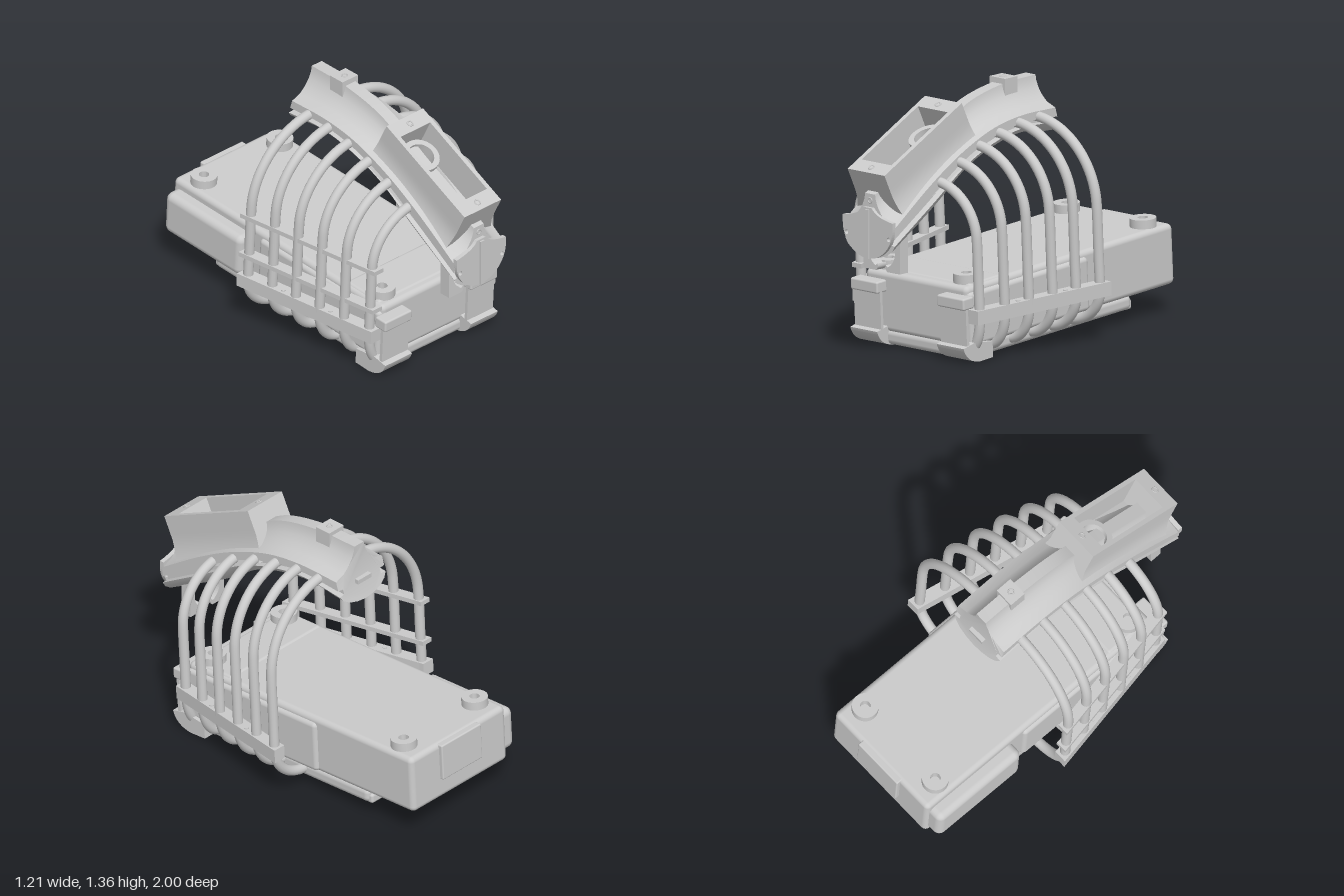
import * as THREE from 'three';
import { toCreasedNormals } from 'three/addons/utils/BufferGeometryUtils.js';
import { RoundedBoxGeometry } from 'three/addons/geometries/RoundedBoxGeometry.js';

const grey = new THREE.MeshStandardMaterial({ color: 0xcccccc });
const dbl = new THREE.MeshStandardMaterial({ color: 0xcccccc, side: THREE.DoubleSide });

function add(parent, name, geo, x = 0, y = 0, z = 0, mat = grey) {
  const m = new THREE.Mesh(geo, mat);
  m.name = name;
  m.position.set(x, y, z);
  parent.add(m);
  return m;
}
// Box given by its extents
function block(parent, name, [x0, x1], [y0, y1], [z0, z1], r = 0) {
  const s = [x1 - x0, y1 - y0, z1 - z0];
  const geo = r ? new RoundedBoxGeometry(...s, 3, r) : new THREE.BoxGeometry(...s);
  return add(parent, name, geo, (x0 + x1) / 2, (y0 + y1) / 2, (z0 + z1) / 2);
}
const poly = pts => new THREE.Shape(pts.map(p => new THREE.Vector2(...p)));
const extrude = (shape, depth, extra = {}) =>
  new THREE.ExtrudeGeometry(shape, { depth, bevelEnabled: false, curveSegments: 20, ...extra });
const circleHole = (x, y, r) => new THREE.Path().absarc(x, y, r, 0, Math.PI * 2, true);
// Smooth curve through [z, y] points
const sideCurve = pts => new THREE.CatmullRomCurve3(pts.map(([z, y]) => new THREE.Vector3(0, y, z)));

// Housing with lid, base, knobs and clips
function buildHousing(g) {
  block(g, 'housing', [-0.36, 0.36], [0.105, 0.43], [-0.99, 0.6], 0.03);
  block(g, 'housingMiddle', [-0.378, 0.378], [0.11, 0.4], [-0.32, 0.595], 0.025);
  block(g, 'frontLip', [-0.345, 0.345], [0.36, 0.437], [0.3, 0.56], 0.02);
  block(g, 'sideBulge', [-0.44, -0.3], [0.14, 0.38], [-0.97, -0.39], 0.04);
  block(g, 'rearPanel', [-0.15, 0.15], [0.22, 0.425], [-1.012, -0.95], 0.008);
  block(g, 'basePlate', [-0.355, 0.355], [0.038, 0.12], [-0.66, 0.6], 0.03);

  // Rounded panel and hatch underneath
  const panel = poly([[-0.2, -0.46], [0.2, -0.46], [0.3, -0.36], [0.3, 0.42], [0.24, 0.5],
    [-0.24, 0.5], [-0.3, 0.42], [-0.3, -0.36]]);
  add(g, 'bottomPanel', extrude(panel, 0.02).rotateX(Math.PI / 2), 0, 0.05, 0);
  block(g, 'bottomHatch', [-0.09, 0.09], [0.024, 0.04], [-0.25, 0.2]);

  const knobShape = new THREE.Shape().absarc(0, 0, 0.07, 0, Math.PI * 2);
  knobShape.holes.push(circleHole(0, 0, 0.027));
  const knob = toCreasedNormals(extrude(knobShape, 0.055).rotateX(-Math.PI / 2), 0.6);

  const clipFoot = new THREE.Shape();
  clipFoot.moveTo(0.46, 0.035);
  clipFoot.lineTo(0.56, 0.033);
  clipFoot.quadraticCurveTo(0.66, 0.045, 0.682, 0.125);
  clipFoot.lineTo(0.6, 0.14);
  clipFoot.lineTo(0.46, 0.12);
  const foot = extrude(clipFoot, 0.19).rotateY(-Math.PI / 2);

  for (const s of [1, -1]) {
    add(g, 'frontKnob', knob, s * 0.27, 0.425, 0.5);
    add(g, 'rearKnob', knob, s * 0.27, 0.422, -0.855);
    const clip = new THREE.Group();
    clip.name = s > 0 ? 'leftClip' : 'rightClip';
    clip.scale.x = s;
    g.add(clip);
    add(clip, 'clipFoot', foot, 0.4);
    block(clip, 'clipStrap', [0.21, 0.395], [0.12, 0.38], [0.632, 0.65]);
    block(clip, 'clipLip', [0.21, 0.4], [0.325, 0.388], [0.59, 0.67], 0.01);
    block(clip, 'rearHook', [0.22, 0.34], [0.035, 0.09], [-0.675, -0.62], 0.015);
  }
}

// Six ribs a side, tied by rails
function buildCage(g) {
  const width = [0.415, 0.452, 0.482, 0.508, 0.532, 0.56];
  const top = [0.965, 1.04, 1.095, 1.13, 1.15, 1.15];
  const ribs = width.map((w, i) => {
    const z = 0.566 - i * 0.153, start = 0.13, r = w - start;
    const pts = [new THREE.Vector3(0.08, top[i], z)];
    for (let k = 0; k <= 10; k++) {
      const a = (k / 10) * Math.PI / 2;
      pts.push(new THREE.Vector3(start + r * Math.sin(a), top[i] - r * (1 - Math.cos(a)), z));
    }
    pts.push(new THREE.Vector3(w, 0.45, z));
    for (let k = 0; k <= 8; k++) {
      const a = (k / 8) * Math.PI / 2, rx = w - 0.33;
      pts.push(new THREE.Vector3(0.33 + rx * Math.cos(a), 0.28 - 0.195 * Math.sin(a), z));
    }
    return new THREE.TubeGeometry(new THREE.CatmullRomCurve3(pts), 64, 0.027, 14);
  });
  // Flat strip following the line of the ribs
  const strip = (inner, outer, height) => extrude(poly([
    [0.407 + outer, 0.61], [0.407 + inner, 0.61], [0.565 + inner, -0.215], [0.568 + inner, -0.24],
    [0.568 + outer, -0.24]]), height).rotateX(Math.PI / 2);
  const rail = strip(-0.038, 0.036, 0.075), band = strip(-0.034, 0.031, 0.025);
  for (const s of [1, -1]) {
    const side = new THREE.Group();
    side.name = s > 0 ? 'leftCage' : 'rightCage';
    side.scale.x = s;
    g.add(side);
    ribs.forEach(geo => add(side, 'rib', geo));
    add(side, 'lowerRail', rail, 0, 0.318, 0);
    const stud = new THREE.CylinderGeometry(0.012, 0.012, 0.006, 12);
    for (const z of [0.33, 0.03]) add(side, 'railStud', stud, 0.47 + (0.33 - z) * 0.19, 0.32, z);
    if (s < 0) for (const y of [0.45, 0.69]) add(side, 'thinBand', band, 0, y, 0);
  }
}

// Arched spine: one section bent along three side curves
function buildSpine(g) {
  const crest = sideCurve([[-0.26, 1.34], [0, 1.33], [0.28, 1.265], [0.5, 1.13], [0.72, 1.02], [0.97, 0.9]]);
  const edge = sideCurve([[-0.26, 1.18], [0, 1.18], [0.22, 1.145], [0.47, 1.05], [0.7, 0.92], [0.97, 0.735]]);
  const belly = sideCurve([[-0.31, 1.03], [-0.08, 1.06], [0.15, 1.02], [0.36, 0.94], [0.62, 0.76], [0.97, 0.56]]);
  const half = [[0.035, 1], [0.04, 0.82], [0.055, 0.6], [0.08, 0.38], [0.115, 0.18], [0.175, 0.03],
    [0.175, -0.3], [0.14, -0.32], [0.14, -0.5], [0.175, -0.52], [0.155, -0.7], [0.115, -0.86], [0.06, -0.96]];
  const section = poly([...half.map(([x, f]) => [-x, f]), [0, -1], ...half.slice().reverse()]);
  const geo = extrude(section, 1, { steps: 30 });
  const p = geo.attributes.position;
  for (let i = 0; i < p.count; i++) {
    const f = p.getY(i), t = THREE.MathUtils.clamp(p.getZ(i), 0, 1);
    const v = edge.getPoint(t).lerp((f > 0 ? crest : belly).getPoint(t), Math.abs(f));
    p.setXYZ(i, p.getX(i), v.y, v.z);
  }
  add(g, 'spine', toCreasedNormals(geo, 0.6));
  block(g, 'rearPin', [-0.05, 0.05], [1.13, 1.155], [-0.3, -0.24]);

  // Sight block on the crest
  block(g, 'topBlock', [-0.055, 0.055], [1.26, 1.36], [-0.1, -0.005]);
  add(g, 'topBlockHole', new THREE.TorusGeometry(0.015, 0.004, 6, 16).rotateX(Math.PI / 2), 0, 1.36, -0.05);

  // Round end plate with ridge and eyelets
  const plate = new THREE.Shape();
  plate.moveTo(-0.175, 0.77);
  plate.lineTo(-0.175, 0.735);
  plate.absarc(0, 0.735, 0.175, Math.PI, Math.PI * 2);
  plate.lineTo(0.175, 0.77);
  plate.quadraticCurveTo(0.06, 0.785, 0.03, 0.83);
  plate.lineTo(-0.03, 0.83);
  plate.quadraticCurveTo(-0.06, 0.785, -0.175, 0.77);
  for (const s of [1, -1]) plate.holes.push(circleHole(s * 0.148, 0.68, 0.012));
  add(g, 'endPlate', extrude(plate, 0.025), 0, 0, 0.965);
  block(g, 'endRidge', [-0.013, 0.013], [0.56, 0.82], [0.97, 1]);
  add(g, 'endEyelet', new THREE.TorusGeometry(0.013, 0.004, 6, 16), 0, 0.865, 0.971);

  // Open-ended hook below the front
  const hook = new THREE.Shape();
  hook.moveTo(-0.128, 0.72);
  hook.lineTo(-0.128, 0.475);
  hook.lineTo(-0.04, 0.475);
  hook.quadraticCurveTo(-0.02, 0.49, -0.03, 0.51);
  hook.absarc(0, 0.585, 0.095, Math.PI * 1.35, Math.PI * 1.65, true);
  hook.lineTo(0.03, 0.51);
  hook.quadraticCurveTo(0.02, 0.49, 0.04, 0.475);
  hook.lineTo(0.128, 0.475);
  hook.lineTo(0.128, 0.72);
  add(g, 'frontHook', extrude(hook, 0.065), 0, 0, 0.817);
}

// Tilted open box that sits on the front of the spine
function buildFrameBox(root) {
  const g = new THREE.Group();
  g.name = 'frameBox';
  g.position.set(0, 1.165, 0.705);
  g.rotation.x = -1.114;
  root.add(g);
  const shape = poly([[-0.13, -0.33], [0.13, -0.33], [0.13, 0.33], [-0.13, 0.33]]);
  shape.holes.push(new THREE.Path([[-0.105, -0.24], [-0.105, 0.24], [0.105, 0.24], [0.105, -0.24]]
    .map(q => new THREE.Vector2(...q))));
  const geo = extrude(shape, 0.277, { steps: 8 }).translate(0, 0, -0.277);
  // Walls flare out towards the spine
  const p = geo.attributes.position;
  for (let i = 0; i < p.count; i++) {
    const x = p.getX(i), d = Math.max(0, -0.12 - p.getZ(i)) / 0.157;
    if (Math.abs(x) > 0.11) p.setX(i, x + Math.sign(x) * 0.045 * d * d);
  }
  add(g, 'boxFrame', toCreasedNormals(geo, 0.5));
  block(g, 'boxFloor', [-0.11, 0.11], [-0.25, 0.25], [-0.25, -0.19]);
  const ring = [[0.07, 0], [0.07, 0.1], [0.1, 0.1], [0.1, 0]].map(q => new THREE.Vector2(...q));
  add(g, 'socketRing', toCreasedNormals(new THREE.LatheGeometry(ring, 32).rotateX(Math.PI / 2), 0.5),
    0, 0.14, -0.2, dbl);
  for (const y of [-0.285, 0.285])
    add(g, 'boxEyelet', new THREE.TorusGeometry(0.015, 0.004, 6, 16), 0, y, 0);
}

export function createModel() {
  const root = new THREE.Group();
  root.name = 'cagedHousing';
  // Housing and cage lean together, rising to the rear
  const lean = new THREE.Group();
  lean.name = 'housingAndCage';
  lean.rotation.x = 0.055;
  root.add(lean);
  buildHousing(lean);
  buildCage(lean);
  buildSpine(root);
  buildFrameBox(root);
  return root;
}
